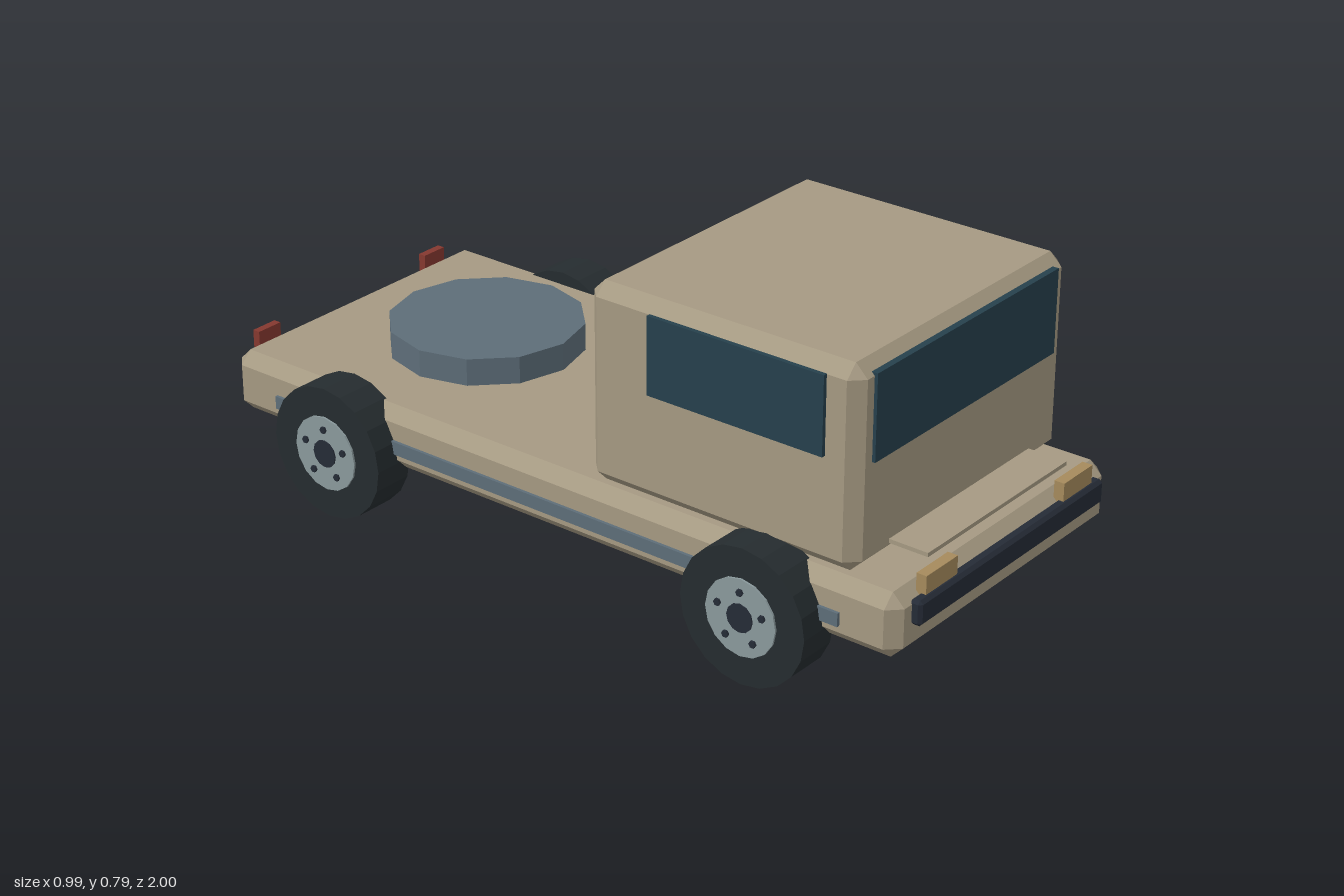
import * as THREE from 'three';
import { ConvexGeometry } from 'three/addons/geometries/ConvexGeometry.js';

const paint = (color) => new THREE.MeshStandardMaterial({ color, flatShading: true });

// Box given by its min/max corners, with all edges chamfered by c
function chamferBox([x0, x1], [y0, y1], [z0, z1], c) {
  const w = (x1 - x0) / 2, h = (y1 - y0) / 2, d = (z1 - z0) / 2, pts = [];
  for (const sx of [-1, 1]) for (const sy of [-1, 1]) for (const sz of [-1, 1]) {
    pts.push(
      new THREE.Vector3(sx * w, sy * (h - c), sz * (d - c)),
      new THREE.Vector3(sx * (w - c), sy * h, sz * (d - c)),
      new THREE.Vector3(sx * (w - c), sy * (h - c), sz * d));
  }
  return new ConvexGeometry(pts).translate((x0 + x1) / 2, (y0 + y1) / 2, (z0 + z1) / 2);
}

function box([x0, x1], [y0, y1], [z0, z1]) {
  return new THREE.BoxGeometry(x1 - x0, y1 - y0, z1 - z0)
    .translate((x0 + x1) / 2, (y0 + y1) / 2, (z0 + z1) / 2);
}

export function createModel() {
  const model = new THREE.Group();
  model.name = 'flatbedTruck';
  const tan = paint(0xa59982), glass = paint(0x26404c), dark = paint(0x252b36);
  const steel = paint(0x5d6d78), rubber = paint(0x252c2f), rim = paint(0x8a999c);
  const lamp = paint(0xa58a5c), red = paint(0x85382f);

  const add = (name, geometry, material, parent = model) => {
    const mesh = new THREE.Mesh(geometry, material);
    mesh.name = name;
    parent.add(mesh);
    return mesh;
  };

  // Body and cab
  add('flatbedBody', chamferBox([-0.42, 0.42], [0.145, 0.302], [-0.988, 0.977], 0.031), tan);
  add('underframe', chamferBox([-0.322, 0.322], [0.11, 0.19], [-0.897, 0.888], 0.009), dark);
  add('cab', chamferBox([-0.4, 0.4], [0.302, 0.79], [0.12, 0.852], 0.031), tan);
  add('windshield', box([-0.345, 0.345], [0.56, 0.767], [0.84, 0.86]), glass);
  add('hoodPlate', box([-0.272, 0.272], [0.337, 0.347], [0.84, 0.953]), tan);
  add('frontBumper', chamferBox([-0.362, 0.362], [0.22, 0.282], [0.968, 1], 0.008), dark);

  // Round deck plate, a vertex pointing backwards
  add('deckPlate', new THREE.CylinderGeometry(0.243, 0.243, 0.07, 12).translate(0, 0.336, -0.532), steel);

  // Mirrored parts
  for (const s of [1, -1]) {
    const side = s > 0 ? 'left' : 'right';
    const span = (a, b) => (s > 0 ? [a, b] : [-b, -a]);
    add(side + 'Window', box(span(0.39, 0.41), [0.57, 0.76], [0.3, 0.77]), glass);
    add(side + 'SideRail', box(span(0.41, 0.428), [0.193, 0.226], [-0.838, 0.833]), steel);
    add(side + 'Headlight', box(span(0.21, 0.327), [0.25, 0.327], [0.962, 0.988]), lamp);
    add(side + 'TailLight', box(span(0.262, 0.335), [0.27, 0.322], [-1, -0.98]), red);
  }

  // Wheels: axis along x, same rim and bolts on both faces
  const cyl = (r, width, sides) => new THREE.CylinderGeometry(r, r, width, sides).rotateZ(Math.PI / 2);
  const tyre = cyl(0.168, 0.106, 20), hub = cyl(0.095, 0.116, 16);
  const cap = cyl(0.035, 0.122, 12), bolt = cyl(0.009, 0.128, 6);
  for (const [axle, z] of [['front', 0.622], ['rear', -0.614]]) {
    for (const s of [1, -1]) {
      const wheel = new THREE.Group();
      wheel.name = axle + (s > 0 ? 'Left' : 'Right') + 'Wheel';
      wheel.position.set(s * 0.433, 0.168, z);
      add('tyre', tyre, rubber, wheel);
      add('rim', hub, rim, wheel);
      add('hubCap', cap, dark, wheel);
      for (let i = 0; i < 5; i++) {
        const a = (i / 5) * Math.PI * 2;
        add('bolt', bolt, dark, wheel).position.set(0, 0.063 * Math.cos(a), 0.063 * Math.sin(a));
      }
      model.add(wheel);
    }
  }
  return model;
}
